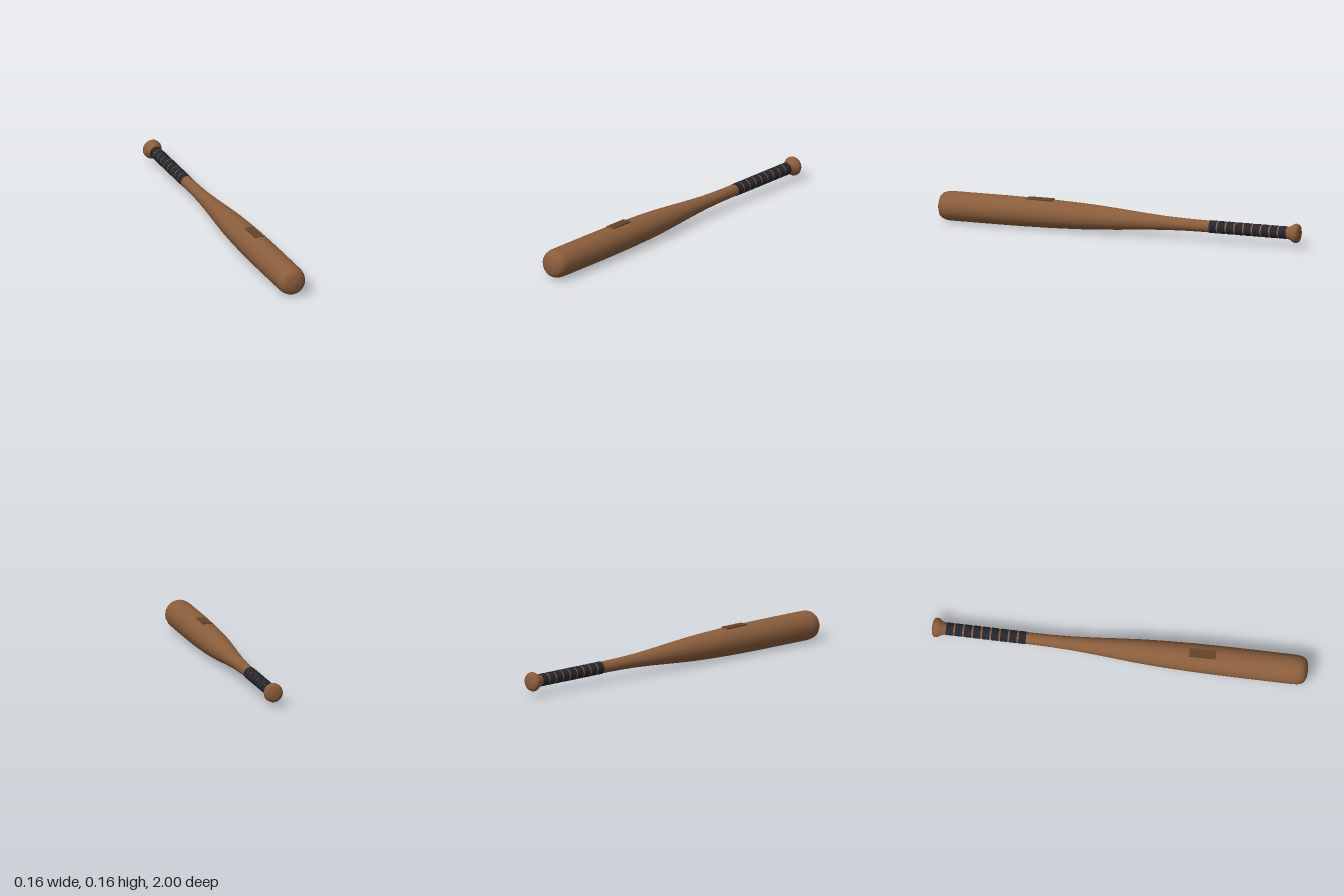
import * as THREE from 'three';

const SIDES = 20;
const AXIS_Y = 0.0785;

// Turned part along z from [z, radius] pairs, ordered from back to front
function turned(name, profile, material) {
  const points = profile.map(([z, r]) => new THREE.Vector2(r, z));
  const geometry = new THREE.LatheGeometry(points, SIDES);
  geometry.rotateX(Math.PI / 2);
  const mesh = new THREE.Mesh(geometry, material);
  mesh.name = name;
  mesh.position.y = AXIS_Y;
  return mesh;
}

export function createModel() {
  const group = new THREE.Group();
  group.name = 'baseballBat';
  const wood = new THREE.MeshStandardMaterial({ color: 0x8b5e3c });
  const darkWood = new THREE.MeshStandardMaterial({ color: 0x65442b });
  const tape = new THREE.MeshStandardMaterial({ color: 0x25262d });

  // Barrel: slim taper swelling to a rounded end
  group.add(turned('barrel', [
    [-0.46, 0.0315], [-0.36, 0.033], [-0.25, 0.037], [-0.12, 0.046], [0, 0.056],
    [0.12, 0.065], [0.24, 0.071], [0.38, 0.0755], [0.5, 0.0775], [0.62, 0.0785],
    [0.93, 0.0785], [0.955, 0.076], [0.975, 0.069], [0.988, 0.057],
    [0.996, 0.036], [1, 0],
  ], wood));

  // Handle
  group.add(turned('handle', [[-0.95, 0.031], [-0.455, 0.0315]], wood));

  // Knob with a flared neck and a slightly domed end
  group.add(turned('knob', [
    [-1, 0], [-0.998, 0.028], [-0.992, 0.045], [-0.982, 0.051], [-0.97, 0.0515],
    [-0.96, 0.047], [-0.948, 0.038], [-0.928, 0.031],
  ], wood));

  // Grip tape bands with narrow wood gaps
  const bands = 9, start = -0.925, end = -0.5, gap = 0.009;
  const width = (end - start - gap * (bands - 1)) / bands;
  for (let i = 0; i < bands; i++) {
    const band = new THREE.Mesh(
      new THREE.CylinderGeometry(0.0335, 0.0335, width, SIDES), tape);
    band.name = 'gripBand' + (i + 1);
    band.rotation.x = Math.PI / 2;
    band.position.set(0, AXIS_Y, start + width / 2 + i * (width + gap));
    group.add(band);
  }

  // Inlaid plate on top of the barrel
  const plate = new THREE.Mesh(new THREE.BoxGeometry(0.048, 0.008, 0.14), darkWood);
  plate.name = 'topPlate';
  plate.position.set(0, 0.1535, 0.44);
  group.add(plate);

  return group;
}
